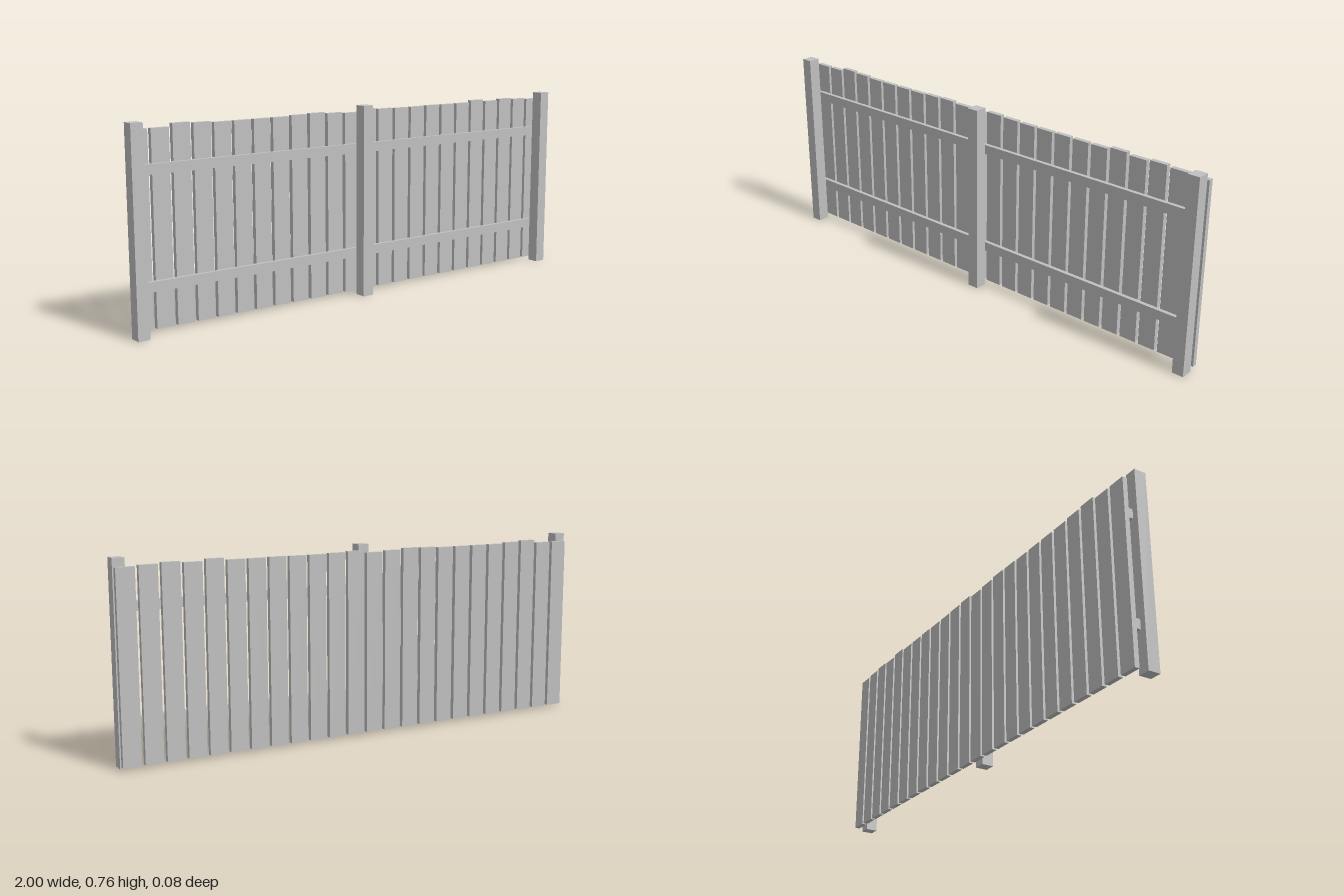
import * as THREE from 'three';

export function createModel() {
  const fence = new THREE.Group();
  fence.name = 'fence';
  const greyWood = new THREE.MeshStandardMaterial({ color: 0xc0c0c0 });
  greyWood.name = 'grey wood';

  // Box given by its minimum and maximum corners
  function addBox(name, x0, x1, y0, y1, z0, z1) {
    const mesh = new THREE.Mesh(new THREE.BoxGeometry(x1 - x0, y1 - y0, z1 - z0), greyWood);
    mesh.position.set((x0 + x1) / 2, (y0 + y1) / 2, (z0 + z1) / 2);
    mesh.name = name;
    fence.add(mesh);
  }

  // Three square posts
  [-0.977, 0, 0.977].forEach((x, i) =>
    addBox(`post${i + 1}`, x - 0.023, x + 0.023, 0, 0.757, -0.006, 0.042));

  // Two rails behind the posts
  addBox('lowerRail', -0.977, 0.977, 0.153, 0.19, -0.022, -0.006);
  addBox('upperRail', -0.977, 0.977, 0.569, 0.606, -0.022, -0.006);

  // Upright boards with slightly uneven tops
  const tops = [
    0.727, 0.727, 0.739, 0.735, 0.731, 0.731, 0.731, 0.731, 0.734, 0.736, 0.731, 0.727,
    0.736, 0.733, 0.731, 0.731, 0.732, 0.731, 0.731, 0.739, 0.731, 0.736, 0.731, 0.727,
  ];
  tops.forEach((top, i) => {
    const x = -0.977 + i * 0.0829;
    addBox(`board${i + 1}`, x, x + 0.07, 0.012, top, -0.041, -0.022);
  });

  return fence;
}
